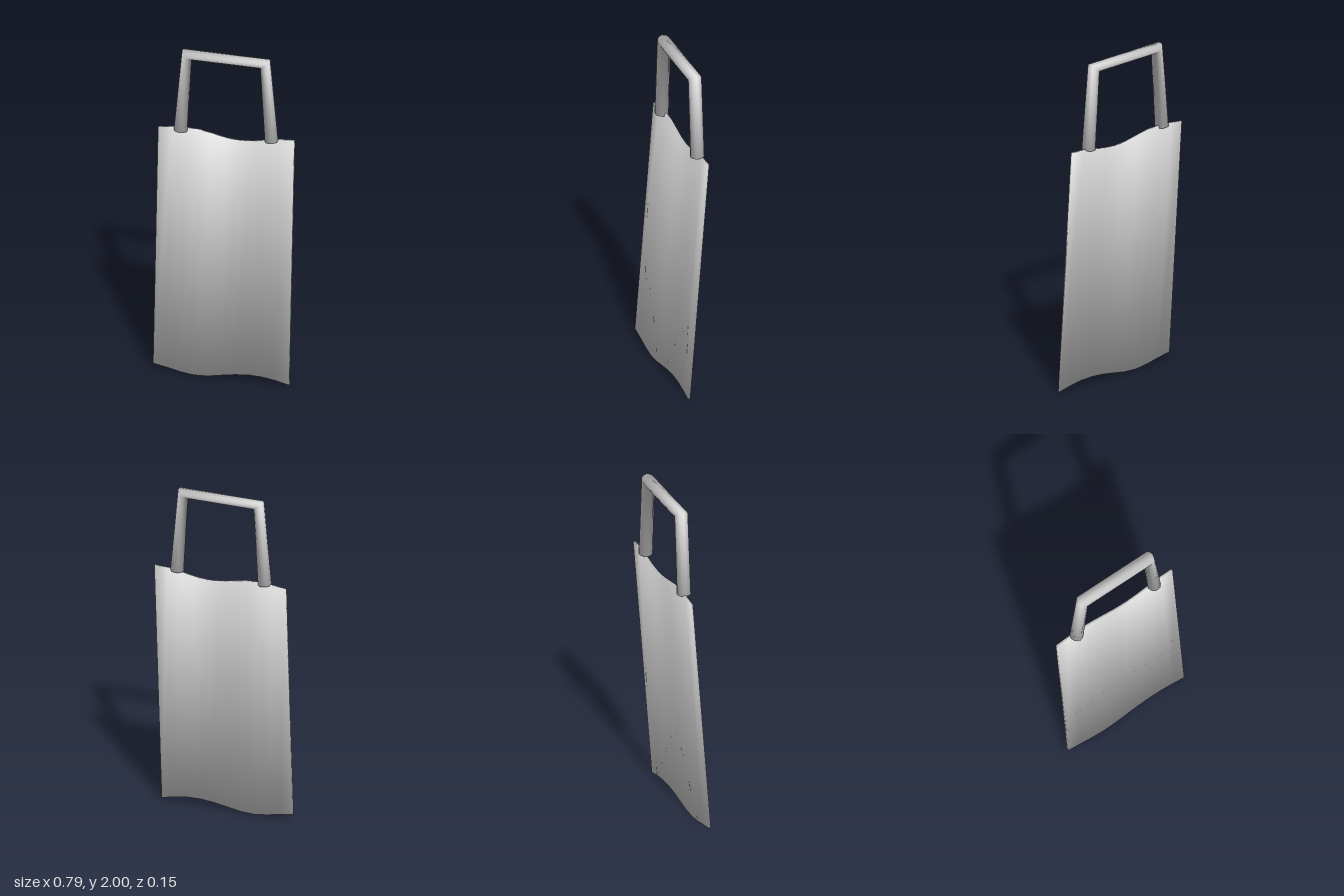
import * as THREE from 'three';

// Closed skin over a row of equal rings; every face counts equally in the smooth normals.
function loft(rings) {
  const n = rings[0].length;
  const points = rings.flat();
  const normals = points.map(() => new THREE.Vector3());
  const index = [];
  const addFace = (ids) => {
    const normal = new THREE.Vector3();
    ids.forEach((id, k) => {
      normal.add(points[id].clone().cross(points[ids[(k + 1) % ids.length]]));
    });
    normal.normalize();
    ids.forEach((id) => normals[id].add(normal));
    for (let k = 1; k < ids.length - 1; k++) index.push(ids[0], ids[k], ids[k + 1]);
  };
  for (let i = 0; i < rings.length - 1; i++) {
    for (let j = 0; j < n; j++) {
      const k = (j + 1) % n;
      addFace([i * n + j, (i + 1) * n + j, (i + 1) * n + k, i * n + k]);
    }
  }
  const start = Array.from({ length: n }, (_, j) => j);
  addFace(start);
  addFace(start.map((j) => points.length - 1 - j));

  const geometry = new THREE.BufferGeometry();
  geometry.setAttribute('position', new THREE.Float32BufferAttribute(points.flatMap((p) => p.toArray()), 3));
  geometry.setAttribute('normal', new THREE.Float32BufferAttribute(normals.flatMap((v) => v.normalize().toArray()), 3));
  geometry.setIndex(index);
  return geometry;
}

export function createModel() {
  const model = new THREE.Group();
  const grey = new THREE.MeshStandardMaterial({ color: 0xcccccc });
  grey.name = 'light grey';

  // Thin leaning panel with wavy top and bottom edges
  const top = [1.487, 1.498, 1.504, 1.501, 1.486, 1.47, 1.464, 1.472, 1.488, 1.501, 1.505];
  const bottom = [0.045, 0.031, 0.014, 0.004, 0.008, 0.023, 0.037, 0.045, 0.043, 0.031, 0.013];
  const corner = (x, y, offset) => new THREE.Vector3(x, y, 0.068 - 0.0765 * y + offset);
  const panelRings = top.map((high, i) => {
    const x = -0.395 + 0.0787 * i;
    const low = bottom[i];
    return [corner(x, high, 0.007), corner(x, high, -0.007), corner(x, low, -0.007), corner(x, low, 0.007)];
  });
  const panel = new THREE.Mesh(loft(panelRings), grey);
  panel.name = 'panel';
  model.add(panel);

  // Tapered handle: each ring runs between an outer and an inner point
  const sides = 12;
  const handleRing = (outer, inner) => Array.from({ length: sides }, (_, j) => {
    const a = (j / sides) * Math.PI * 2;
    const t = 0.5 + 0.5 * Math.sin(a);
    return new THREE.Vector3(
      THREE.MathUtils.lerp(inner[0], outer[0], t),
      THREE.MathUtils.lerp(inner[1], outer[1], t),
      -0.036 + 0.04 * Math.cos(a),
    );
  });
  const handle = new THREE.Mesh(loft([
    handleRing([-0.303, 1.494], [-0.225, 1.488]),
    handleRing([-0.255, 2.0], [-0.2, 1.95]),
    handleRing([0.253, 2.0], [0.198, 1.95]),
    handleRing([0.3, 1.494], [0.223, 1.488]),
  ]), grey);
  handle.name = 'handle';
  model.add(handle);

  return model;
}
